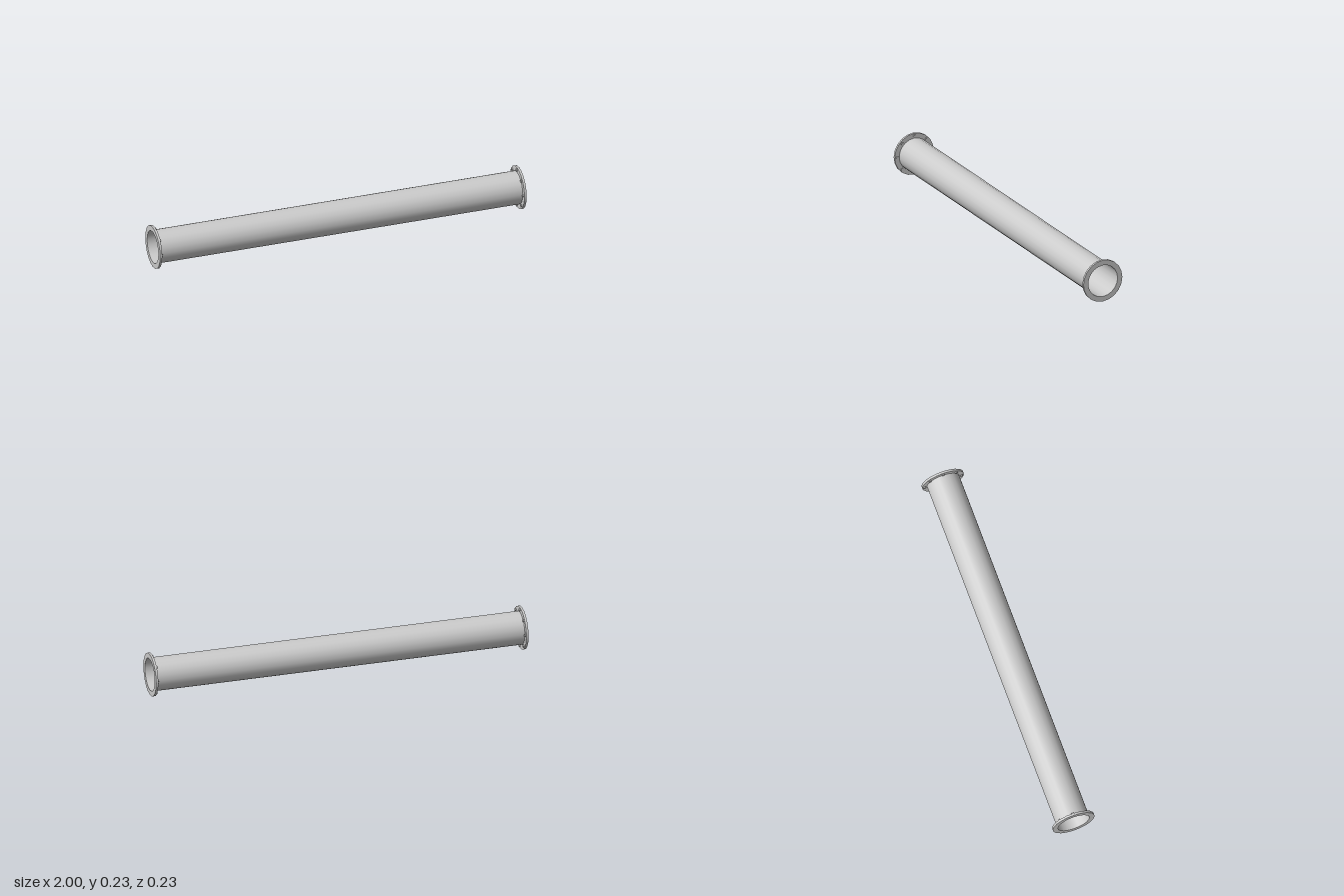
import * as THREE from 'three';

const SIDES = 20, AXIS_Y = 0.1143;
const R_IN = 0.0866, R_PIPE = 0.0882, R_FLANGE = 0.1143;
const FLANGE = 0.012, BOLT = 0.006;

export function createModel() {
  const group = new THREE.Group();
  const mat = new THREE.MeshStandardMaterial({ color: 0xcccccc });
  const add = (name, geometry, parent = group) => {
    const mesh = new THREE.Mesh(geometry, mat);
    mesh.name = name;
    parent.add(mesh);
    return mesh;
  };
  // Cylindrical or ring surface around the x axis, from (x0, r0) to (x1, r1)
  const revolve = (x0, r0, x1, r1) => new THREE.LatheGeometry(
    [new THREE.Vector2(r0, x0), new THREE.Vector2(r1, x1)], SIDES).rotateZ(-Math.PI / 2);

  // Thin-walled pipe: outer skin and bore
  const inner = 1 - FLANGE;
  add('pipeOuterWall', revolve(-inner, R_PIPE, inner, R_PIPE));
  add('pipeBore', revolve(1, R_IN, -1, R_IN));

  // Flange at each end, built facing +x and turned about for the other end
  for (const side of [1, -1]) {
    const end = new THREE.Group();
    end.name = side > 0 ? 'leftFlange' : 'rightFlange';
    end.rotation.y = side > 0 ? 0 : Math.PI;
    add('flangeRim', revolve(inner, R_FLANGE, 1, R_FLANGE), end);
    add('flangeFace', revolve(1, R_FLANGE, 1, R_IN), end);
    add('flangeBack', revolve(inner, R_PIPE, inner, R_FLANGE), end);

    // Ring of bolt heads on the back of the flange
    for (let i = 0; i < 8; i++) {
      const a = i * Math.PI / 4;
      const bolt = add('bolt', new THREE.CylinderGeometry(0.0075, 0.0075, BOLT, 6).rotateZ(Math.PI / 2), end);
      bolt.position.set(inner - BOLT / 2, Math.cos(a) * 0.101, Math.sin(a) * 0.101);
      bolt.rotation.x = a;
    }
    group.add(end);
  }

  for (const child of group.children) child.position.y = AXIS_Y;
  return group;
}
